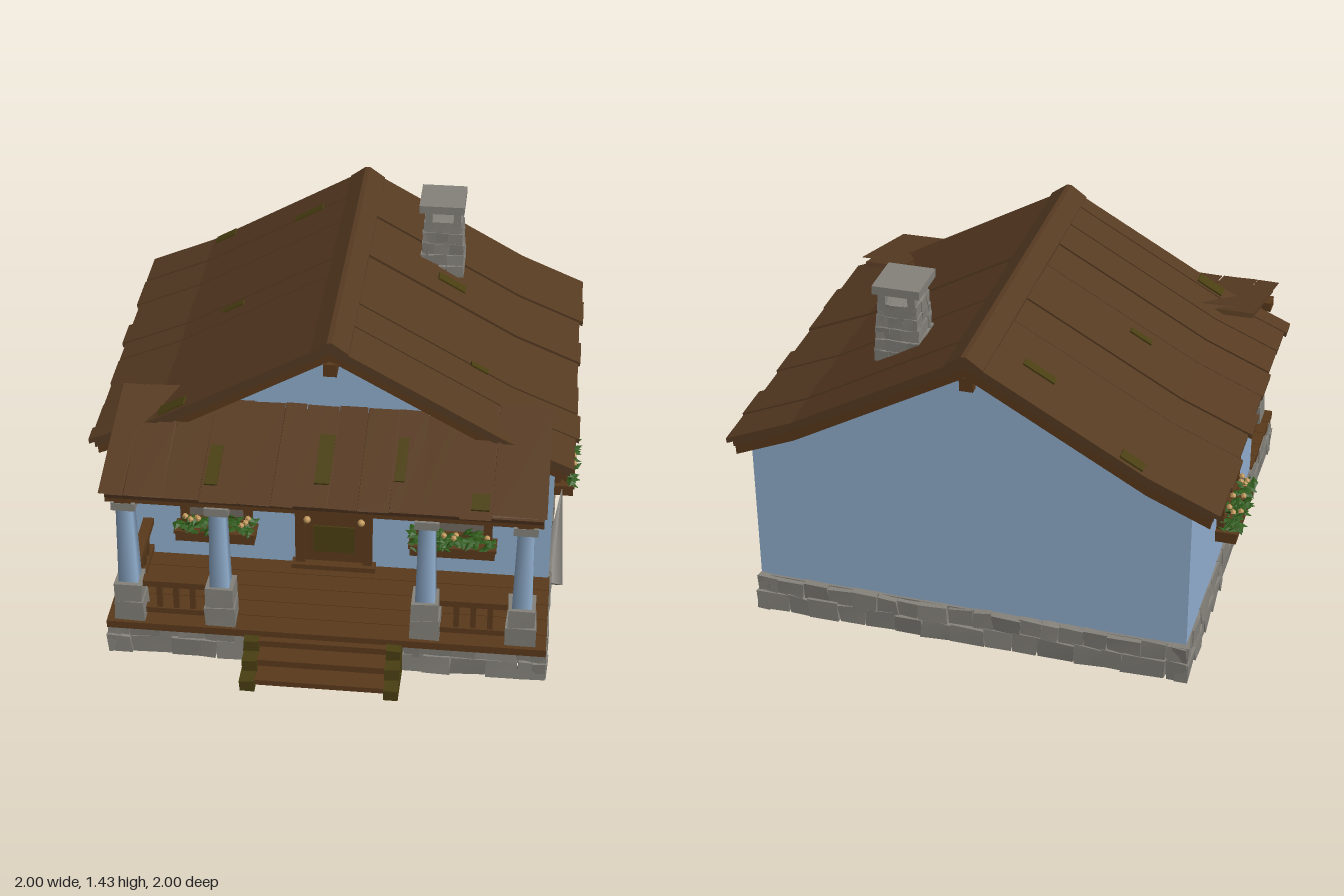
import * as THREE from 'three';
import { mergeGeometries } from 'three/addons/utils/BufferGeometryUtils.js';

const paint = (name, color) => {
  const m = new THREE.MeshStandardMaterial({ color });
  m.name = name;
  return m;
};

export function createModel() {
  const model = new THREE.Group();
  model.name = 'cottage';
  const roofWood = paint('roofWood', 0x573b22), trimWood = paint('trimWood', 0x5a3a1b);
  const mossyWood = paint('mossyWood', 0x4a3f12), wallBlue = paint('wallBlue', 0x92b0d0);
  const stone = paint('stone', 0x85827b), leafGreen = paint('leafGreen', 0x2f5a1a);
  const amber = paint('amber', 0xc0965a), glass = paint('glass', 0x716a60), iron = paint('iron', 0x35301f);

  let seed = 7;
  const rnd = () => (seed = (seed * 16807) % 2147483647) / 2147483647;
  const jit = (a) => (rnd() - 0.5) * 2 * a;

  const add = (name, geo, mat, parent = model) => {
    const m = new THREE.Mesh(Array.isArray(geo) ? mergeGeometries(geo) : geo, mat);
    m.name = name;
    parent.add(m);
    return m;
  };
  // box given by its lower and upper corners
  const block = (x0, x1, y0, y1, z0, z1) => new THREE.BoxGeometry(x1 - x0, y1 - y0, z1 - z0)
    .translate((x0 + x1) / 2, (y0 + y1) / 2, (z0 + z1) / 2);
  // hand-hewn look: every corner of a box is nudged
  const rough = (geo, j) => {
    geo.computeBoundingBox();
    const c = geo.boundingBox.getCenter(new THREE.Vector3()), p = geo.attributes.position;
    const moves = Array.from({ length: 8 }, () => [jit(j), jit(j), jit(j)]);
    for (let i = 0; i < p.count; i++) {
      const [x, y, z] = [p.getX(i), p.getY(i), p.getZ(i)];
      const m = moves[(x > c.x ? 1 : 0) + (y > c.y ? 2 : 0) + (z > c.z ? 4 : 0)];
      p.setXYZ(i, x + m[0], Math.max(0, y + m[1]), z + m[2]);
    }
    geo.computeVertexNormals();
    return geo;
  };
  // xy outline extruded from z0 to z1
  const prism = (pts, z0, z1) => new THREE.ExtrudeGeometry(
    new THREE.Shape(pts.map(([x, y]) => new THREE.Vector2(x, y))), { depth: z1 - z0, bevelEnabled: false }).translate(0, 0, z0);
  // ring of uneven stones round a rectangle
  const stoneRing = (x0, x1, z0, z1, y0, y1, t, len, j) => {
    const out = [];
    const run = (a, b, make) => {
      const n = Math.round((b - a) / len), cuts = [a];
      for (let i = 1; i < n; i++) cuts.push(a + (i + jit(0.25)) * (b - a) / n);
      cuts.push(b);
      for (let i = 0; i < n; i++) out.push(rough(make(cuts[i], cuts[i + 1]), j));
    };
    for (const z of [z0, z1 - t]) run(x0, x1, (a, b) => block(a, b, y0, y1, z, z + t));
    for (const x of [x0, x1 - t]) run(z0, z1, (a, b) => block(x, x + t, y0, y1, a, b));
    return out;
  };

  // foundation
  add('foundationCore', block(-0.87, 0.87, 0.005, 0.155, -0.95, 0.35), stone);
  add('foundationStones', [
    ...stoneRing(-0.895, 0.89, -0.975, 0.81, 0, 0.085, 0.055, 0.12, 0.007),
    ...stoneRing(-0.89, 0.885, -0.97, 0.805, 0.08, 0.155, 0.055, 0.1, 0.007)], stone);
  const slab = new THREE.ConeGeometry(0.05, 0.42, 4).rotateX(-0.72).rotateZ(-0.08).translate(0.905, 0.185, 0.07);
  add('leaningStone', slab, stone);

  // walls with gables
  add('walls', prism([[-0.88, 0.15], [0.88, 0.15], [0.88, 0.79], [0.69, 0.87], [-0.015, 1.26], [-0.71, 0.87], [-0.88, 0.79]], -0.94, 0.35), wallBlue);

  // main roof: each slope is a row of planks with a flared eave
  const rx = -0.015;
  const slope = (s, drop, thick, reach = 0) => {
    const top = [[0, 1.33], [0.7, 0.935], [0.975 + reach, 0.818 - reach * 0.43]];
    return [...top.map(([x, y]) => [rx + s * x, y - drop]), ...top.reverse().map(([x, y]) => [rx + s * x * 0.997, y - drop - thick])];
  };
  const planks = [], barge = [];
  for (const s of [-1, 1]) {
    planks.push(prism(slope(s, 0.012, 0.035, -0.02), -0.985, 0.485));
    let z = -0.998;
    while (z < 0.49) {
      let end = z + 0.13 + rnd() * 0.08;
      if (end > 0.42) end = 0.498;
      planks.push(prism(slope(s, jit(0.007), 0.02, jit(0.012)), z, end - 0.005));
      z = end;
    }
    for (const zb of [0.43, -0.985]) barge.push(prism(slope(s, 0.04, 0.045, -0.03), zb, zb + 0.045));
  }
  add('roofPlanks', planks, roofWood);
  add('bargeBoards', barge, trimWood);
  add('ridgeCap', prism([[-0.09, 1.295], [-0.025, 1.342], [-0.005, 1.342], [0.06, 1.295], [0.06, 1.275], [-0.015, 1.32], [-0.09, 1.275]], -1, 0.5), roofWood);
  add('ridgeBeam', block(-0.042, 0.012, 1.18, 1.235, -0.975, 0.485), trimWood);
  add('eaveBlocks', [-1, 1].map((s) => block(s * 0.91 - 0.04, s * 0.91 + 0.04, 0.75, 0.8, -0.9, -0.845)), trimWood);

  // porch roof
  const tilt = 0.278, porchY = (z) => 0.815 + (0.85 - z) * 0.285;
  const boards = [];
  for (let x = -0.88; x < 0.85;) {
    let end = x + 0.09 + rnd() * 0.07;
    if (end > 0.8) end = 0.86;
    const len = 0.575 + jit(0.012);
    boards.push(rough(block(x, end - 0.004, -0.03, 0, -0.57, len - 0.57), 0.004).rotateX(tilt).translate(0, 0.816 + jit(0.004), 0.845));
    x = end;
  }
  add('porchRoofBoards', boards, roofWood);
  add('porchRoofBase', block(-0.86, 0.845, -0.04, -0.02, -0.55, -0.01).rotateX(tilt).translate(0, 0.816, 0.845), roofWood);
  add('porchBeams', [block(-0.87, 0.848, 0.737, 0.778, 0.72, 0.79),
    block(-0.83, -0.765, 0.737, 0.775, 0.35, 0.8), block(0.745, 0.81, 0.737, 0.775, 0.35, 0.8)], trimWood);

  // moss on both roofs
  const moss = [];
  for (const [x, z, w, d] of [[-0.65, -0.96, 0.1, 0.05], [-0.25, -0.8, 0.14, 0.04], [0.4, -0.43, 0.13, 0.05], [-0.65, 0.45, 0.12, 0.06],
    [0.55, 0.1, 0.08, 0.03], [-0.5, -0.2, 0.1, 0.03]]) {
    moss.push(block(-w / 2, w / 2, 0, 0.008, -d / 2, d / 2).rotateZ(-Math.sign(x) * 0.514)
      .translate(x, 1.335 - Math.abs(x - rx) * 0.564, z));
  }
  for (const [x, z, w, d] of [[-0.45, 0.68, 0.05, 0.2], [-0.02, 0.62, 0.06, 0.25], [0.28, 0.6, 0.04, 0.22], [0.6, 0.78, 0.07, 0.08]]) {
    moss.push(block(-w / 2, w / 2, 0, 0.008, -d / 2, d / 2).rotateX(tilt).translate(x, porchY(z), z));
  }
  add('roofMoss', moss, mossyWood);

  // chimney
  const courses = [block(0.28, 0.42, 1.05, 1.335, -0.69, -0.53)];
  for (let i = 0; i < 5; i++) {
    const g = 0.012 - i * 0.003, y = 1.085 + i * 0.051;
    courses.push(...stoneRing(0.27 - g, 0.43 + g, -0.69 - g, -0.53 + g, y, y + 0.048, 0.03, 0.055, 0.004));
  }
  for (const x of [0.275, 0.395]) for (const z of [-0.69, -0.56]) courses.push(block(x, x + 0.03, 1.33, 1.39, z, z + 0.03));
  courses.push(block(0.25, 0.44, 1.385, 1.42, -0.71, -0.51));
  add('chimney', courses, stone);

  // porch deck and steps
  add('porchDeck', [0, 1, 2, 3, 4].map((i) => block(-0.89, 0.885, 0.135, 0.168, 0.34 + i * 0.098, 0.435 + i * 0.098)), trimWood);
  const cheeks = [], treads = [];
  [[0.05, 1], [0.1, 0.935], [0.145, 0.87]].forEach(([y, z]) => {
    for (const x of [-0.325, 0.25]) cheeks.push(rough(block(x, x + 0.06, y - 0.05, y, 0.8, z), 0.003));
    treads.push(block(-0.27, 0.255, y - 0.02, y - 0.004, 0.8, z - 0.015), block(-0.265, 0.25, Math.max(0.005, y - 0.05), y - 0.02, 0.8, z - 0.035));
  });
  add('stepSides', cheeks, mossyWood);
  add('stepTreads', treads, trimWood);

  // porch posts
  for (const x of [-0.797, -0.428, 0.396, 0.78]) {
    const post = new THREE.Group();
    post.name = 'porchPost';
    post.position.set(x, 0, 0.754);
    model.add(post);
    add('postShaft', new THREE.CylinderGeometry(0.045, 0.056, 0.38, 4).rotateY(Math.PI / 4).translate(0, 0.53, 0), wallBlue, post);
    add('postStones', [rough(block(-0.06, 0.06, 0.168, 0.26, -0.06, 0.06), 0.004),
      rough(block(-0.055, 0.055, 0.255, 0.345, -0.055, 0.055), 0.004), block(-0.048, 0.048, 0.705, 0.74, -0.048, 0.048)], stone, post);
  }

  // railings
  const railing = (length, x, z, turn) => {
    const h = length / 2, parts = [block(-h, h, 0.318, 0.345, -0.022, 0.022), block(-h, h, 0.183, 0.208, -0.018, 0.018)];
    const n = Math.round(length / 0.07);
    for (let i = 1; i < n; i++) {
      const bx = -h + i * length / n;
      parts.push(block(bx - 0.011, bx + 0.011, 0.2, 0.32, -0.011, 0.011));
    }
    const r = add('railing', parts, trimWood);
    r.position.set(x, 0, z);
    r.rotation.y = turn;
  };
  railing(0.27, -0.612, 0.754, 0);
  railing(0.27, 0.588, 0.754, 0);
  for (const x of [-0.797, 0.78]) railing(0.35, x, 0.525, Math.PI / 2);

  // door
  add('door', block(-0.145, 0.115, 0.168, 0.66, 0.345, 0.362), trimWood);
  add('doorFrame', [block(-0.176, -0.135, 0.168, 0.67, 0.345, 0.38), block(0.105, 0.145, 0.168, 0.67, 0.345, 0.38),
    block(-0.18, 0.15, 0.655, 0.69, 0.345, 0.385), block(-0.19, 0.16, 0.168, 0.19, 0.345, 0.4)], trimWood);
  add('doorPanels', [block(-0.1, 0.07, 0.24, 0.37, 0.36, 0.368), block(-0.1, 0.07, 0.44, 0.61, 0.36, 0.368)], mossyWood);
  add('doorKnobs', [-0.125, 0.1].map((x) => new THREE.SphereGeometry(0.016, 10, 8).translate(x, 0.41, 0.382)), amber);

  // windows with flower boxes
  const addWindow = (x, z, turn, w, bars) => {
    const g = new THREE.Group(), h = w / 2;
    g.name = 'window';
    g.position.set(x, 0, z);
    g.rotation.y = turn;
    model.add(g);
    add('windowPane', block(-h + 0.03, h - 0.03, 0.37, 0.66, -0.01, 0.006), glass, g);
    add('windowGlow', new THREE.CylinderGeometry(0.108, 0.108, 0.005, 8).rotateY(Math.PI / 8).rotateX(Math.PI / 2)
      .scale((w - 0.11) / 0.21, 0.95, 1).translate(0, 0.53, 0.009), amber, g);
    const frame = [block(-h, h, 0.645, 0.68, -0.01, 0.035), block(-h + 0.015, h - 0.015, 0.35, 0.38, -0.01, 0.03)];
    for (const s of [-1, 1]) frame.push(block(s * (h - 0.033) - 0.018, s * (h - 0.033) + 0.018, 0.35, 0.66, -0.01, 0.028));
    if (bars) frame.push(block(-0.008, 0.008, 0.37, 0.65, 0, 0.018), block(-h + 0.04, h - 0.04, 0.545, 0.56, 0, 0.018));
    add('windowFrame', frame, trimWood, g);
    add('flowerBox', [block(-h, h, 0.3, 0.35, 0, 0.085), block(-h - 0.006, h + 0.006, 0.338, 0.352, 0, 0.09)], trimWood, g);
    const leaves = [], blooms = [];
    for (let i = 0; i < 80; i++) {
      leaves.push(new THREE.OctahedronGeometry(0.03).scale(1, 0.25, 0.6).rotateZ(jit(0.7)).rotateY(jit(3.1))
        .translate(jit(h - 0.005), 0.372 + jit(0.026), 0.055 + jit(0.04)));
      if (i % 9 === 0) blooms.push(new THREE.IcosahedronGeometry(0.014).translate(jit(h - 0.03), 0.4 + jit(0.008), 0.06 + jit(0.03)));
    }
    add('leaves', leaves, leafGreen, g);
    add('blossoms', blooms, amber, g);
  };
  addWindow(-0.505, 0.35, 0, 0.33, true);
  addWindow(0.48, 0.35, 0, 0.35, false);
  addWindow(0.88, -0.245, Math.PI / 2, 0.37, false);
  addWindow(-0.88, -0.245, -Math.PI / 2, 0.37, false);

  // lantern beside the door
  const lantern = new THREE.Group();
  lantern.name = 'lantern';
  lantern.position.set(-0.262, 0, 0.4);
  model.add(lantern);
  add('lanternGlass', new THREE.CylinderGeometry(0.036, 0.024, 0.07, 6).translate(0, 0.59, 0), glass, lantern);
  add('lanternIron', [new THREE.ConeGeometry(0.048, 0.035, 6).translate(0, 0.64, 0), new THREE.CylinderGeometry(0.027, 0.012, 0.025, 6).translate(0, 0.545, 0),
    new THREE.TorusGeometry(0.025, 0.006, 6, 14).translate(0, 0.672, 0), block(-0.008, 0.008, 0.675, 0.69, -0.055, 0.01),
    block(-0.015, 0.015, 0.6, 0.69, -0.055, -0.042)], iron, lantern);

  return model;
}
